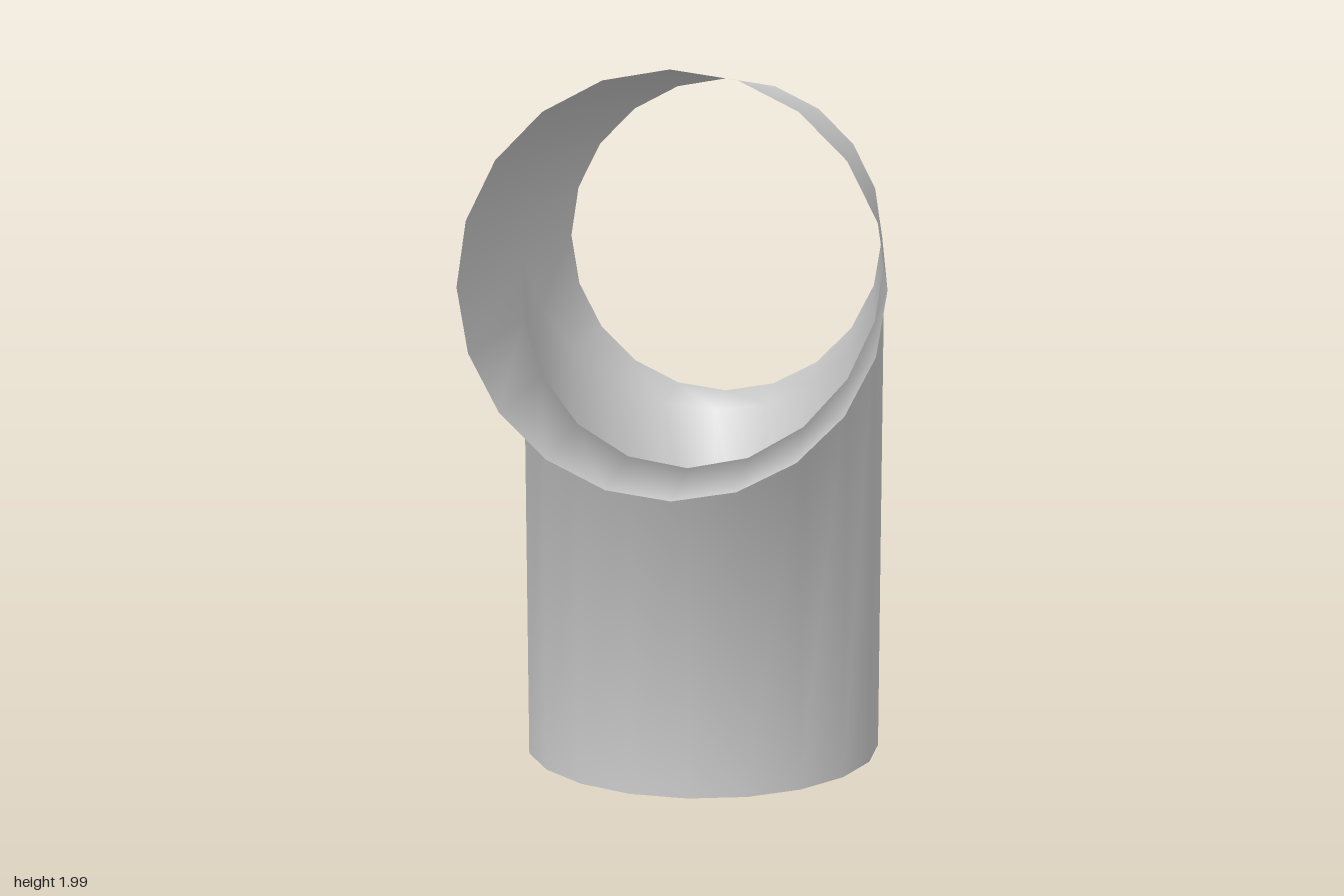
import * as THREE from 'three';
import { mergeVertices } from 'three/addons/utils/BufferGeometryUtils.js';

const SIDES = 20;
const R = 0.528; // radius of both pipes
const AXIS = 1.457; // height of the horizontal pipe's axis

export function createModel() {
  const positions = [];
  const indices = [];

  // Open tube wall between two rings; each ring maps (cos, sin) to a point.
  function addWall(startRing, endRing) {
    const base = positions.length / 3;
    for (let i = 0; i < SIDES; i++) {
      const angle = (i / SIDES) * Math.PI * 2;
      const c = R * Math.cos(angle);
      const s = R * Math.sin(angle);
      positions.push(...startRing(c, s), ...endRing(c, s));
      const a = base + 2 * i;
      const b = base + 2 * ((i + 1) % SIDES);
      indices.push(a, b, b + 1, a, b + 1, a + 1);
    }
  }

  // Horizontal pipe: two halves that meet over the top and open round the branch
  const opening = (s) => Math.max(0, -s);
  addWall((c, s) => [c, AXIS + s, opening(s)], (c, s) => [c, AXIS + s, 1]);
  addWall((c, s) => [c, AXIS + s, -1], (c, s) => [c, AXIS + s, -opening(s)]);
  const runCount = indices.length;

  // Vertical branch: flat foot, top cut to the saddle-shaped joint
  addWall((c, s) => [c, 0, -s], (c, s) => [c, AXIS - Math.abs(s), -s]);

  // Weld the joint so that the shading blends from pipe to pipe
  let joined = new THREE.BufferGeometry();
  joined.setAttribute('position', new THREE.Float32BufferAttribute(positions, 3));
  joined.setIndex(indices);
  joined = mergeVertices(joined, 1e-3);
  joined.computeVertexNormals();

  const material = new THREE.MeshStandardMaterial({ color: 0xcccccc, side: THREE.DoubleSide });
  const group = new THREE.Group();
  group.name = 'teePipe';

  // Each pipe is its own mesh, with the welded vertices and normals shared
  function addPart(name, start, end) {
    const geometry = new THREE.BufferGeometry();
    geometry.setAttribute('position', joined.attributes.position);
    geometry.setAttribute('normal', joined.attributes.normal);
    geometry.setIndex(Array.from(joined.index.array.slice(start, end)));
    const mesh = new THREE.Mesh(geometry, material);
    mesh.name = name;
    group.add(mesh);
  }
  addPart('horizontalPipe', 0, runCount);
  addPart('verticalBranch', runCount, indices.length);

  return group;
}
